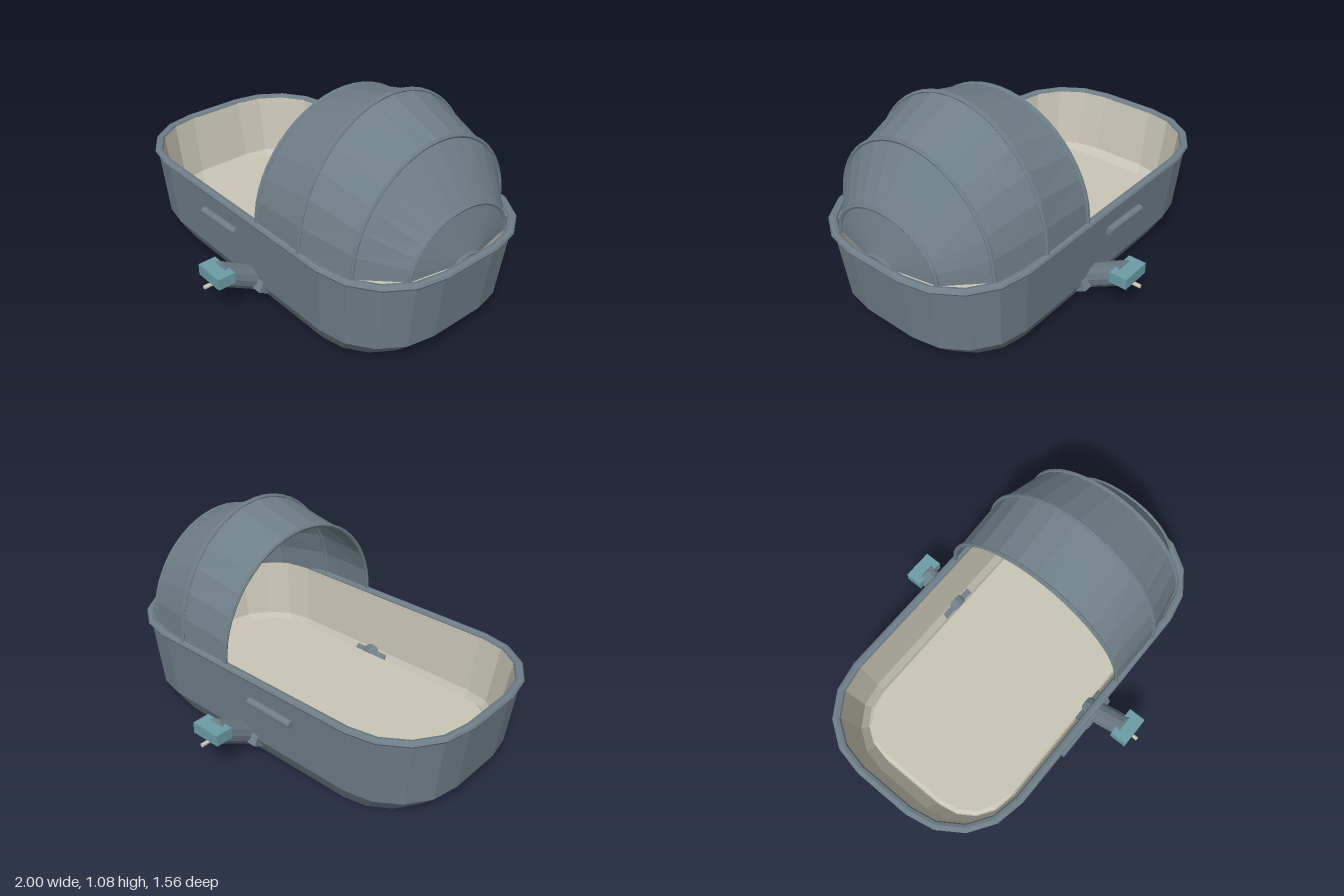
import * as THREE from 'three';

const mat = (name, color) => Object.assign(new THREE.MeshStandardMaterial({ color, flatShading: true }), { name });

// Rounded-rectangle loop with half sizes hx, hz and corner radius r
function loop(y, hx, hz, r, seg = 4) {
  const pts = [];
  for (let q = 0; q < 4; q++) {
    const cx = (q === 0 || q === 3 ? 1 : -1) * (hx - r);
    const cz = (q < 2 ? 1 : -1) * (hz - r);
    for (let i = 0; i <= seg; i++) {
      const a = (q + i / seg) * Math.PI / 2;
      pts.push(new THREE.Vector3(cx + r * Math.cos(a), y, cz + r * Math.sin(a)));
    }
  }
  return pts;
}
const centre = (y) => Array.from({ length: 20 }, () => new THREE.Vector3(0, y, 0));

// Half-ellipse standing at x on the rim
const BASE = 0.46;
function arch(x, w, h, seg = 14) {
  return Array.from({ length: seg + 1 }, (_, i) => {
    const a = Math.PI * i / seg;
    return new THREE.Vector3(x, BASE + h * Math.sin(a), w * Math.cos(a));
  });
}

// Skin joining successive cross-sections
function loft(rings, closed = true) {
  const pos = [];
  const tri = (a, b, c) => {
    if (new THREE.Triangle(a, b, c).getArea() > 1e-8) for (const p of [a, b, c]) pos.push(p.x, p.y, p.z);
  };
  for (let i = 0; i < rings.length - 1; i++) {
    const n = rings[i].length;
    for (let j = 0; j < (closed ? n : n - 1); j++) {
      const k = (j + 1) % n;
      const a = rings[i][j], b = rings[i][k], c = rings[i + 1][k], d = rings[i + 1][j];
      tri(a, d, c);
      tri(a, c, b);
    }
  }
  const g = new THREE.BufferGeometry();
  g.setAttribute('position', new THREE.Float32BufferAttribute(pos, 3));
  g.computeVertexNormals();
  return g;
}

export function createModel() {
  const model = new THREE.Group();
  model.name = 'bassinet';
  const grey = mat('slate grey fabric', 0x6e7e87);
  const hoodGrey = grey.clone();
  hoodGrey.side = THREE.DoubleSide;
  const beige = mat('beige lining', 0xc9c5b6);
  const teal = mat('teal clip', 0x6b9ca6);
  const add = (parent, name, geo, material, x = 0, y = 0, z = 0) => {
    const m = new THREE.Mesh(geo, material);
    m.name = name;
    m.position.set(x, y, z);
    parent.add(m);
    return m;
  };

  // Tub with chamfered base
  add(model, 'tub', loft([
    centre(0), loop(0, 0.84, 0.455, 0.31), loop(0.1, 0.938, 0.51, 0.36), loop(BASE, 0.983, 0.535, 0.38),
  ]), grey);

  // Lining and mattress
  add(model, 'lining', loft([
    loop(BASE, 0.957, 0.511, 0.36), loop(0.14, 0.9, 0.485, 0.33), loop(0.07, 0.84, 0.455, 0.28), centre(0.07),
  ]), beige);
  add(model, 'mattress', loft([
    loop(0.07, 0.838, 0.452, 0.26), loop(0.115, 0.838, 0.452, 0.26),
    loop(0.13, 0.82, 0.435, 0.245), centre(0.13),
  ]), beige);

  // Rim: a thick rounded band around the top edge
  const rim = [];
  for (let i = 0; i <= 8; i++) {
    const a = i * Math.PI / 4, o = 0.022 * Math.cos(a);
    rim.push(loop(BASE + 0.015 * Math.sin(a), 0.978 + o, 0.53 + o, 0.375 + o));
  }
  add(model, 'rim', loft(rim), grey);

  // Folding hood: x, half width, height of each hoop
  const hoops = [[0.16, 0.53, 0.53], [0.465, 0.533, 0.61], [0.745, 0.475, 0.49], [0.915, 0.305, 0.235], [0.962, 0.065, 0.025]];
  const sections = hoops.map((h) => arch(...h));
  sections.push(arch(0.965, 0, 0));
  add(model, 'hood', loft(sections, false), hoodGrey);
  hoops.forEach((h, i) => {
    const path = new THREE.CatmullRomCurve3(arch(...h));
    add(model, 'hoodRib' + (i + 1), new THREE.TubeGeometry(path, 28, 0.011, 6), grey);
  });

  // Handles and mounting arms on both long sides
  for (const s of [1, -1]) {
    const side = new THREE.Group();
    side.name = s > 0 ? 'frontMount' : 'backMount';
    model.add(side);

    const handle = add(side, 'handle', new THREE.CylinderGeometry(0.02, 0.02, 0.275, 12), grey, -0.142, 0.332, s * 0.536);
    handle.rotation.z = Math.PI / 2 + 0.025;

    // Arm slopes up and outward at thirty degrees
    const arm = new THREE.Group();
    arm.name = 'arm';
    arm.position.set(0.07, 0.148, s * 0.586);
    arm.rotation.x = s * Math.PI / 3;
    side.add(arm);
    add(arm, 'armTube', new THREE.CylinderGeometry(0.06, 0.06, 0.273, 12), grey);
    add(arm, 'armBase', new THREE.BoxGeometry(0.2, 0.06, 0.075), grey, 0, -0.105, 0);

    add(side, 'clip', new THREE.BoxGeometry(0.165, 0.058, 0.093), teal, 0.072, 0.219, s * 0.706);
    const pin = add(side, 'pin', new THREE.CylinderGeometry(0.01, 0.01, 0.1, 10), beige, 0.07, 0.172, s * 0.73);
    pin.rotation.x = Math.PI / 2;
  }
  return model;
}
